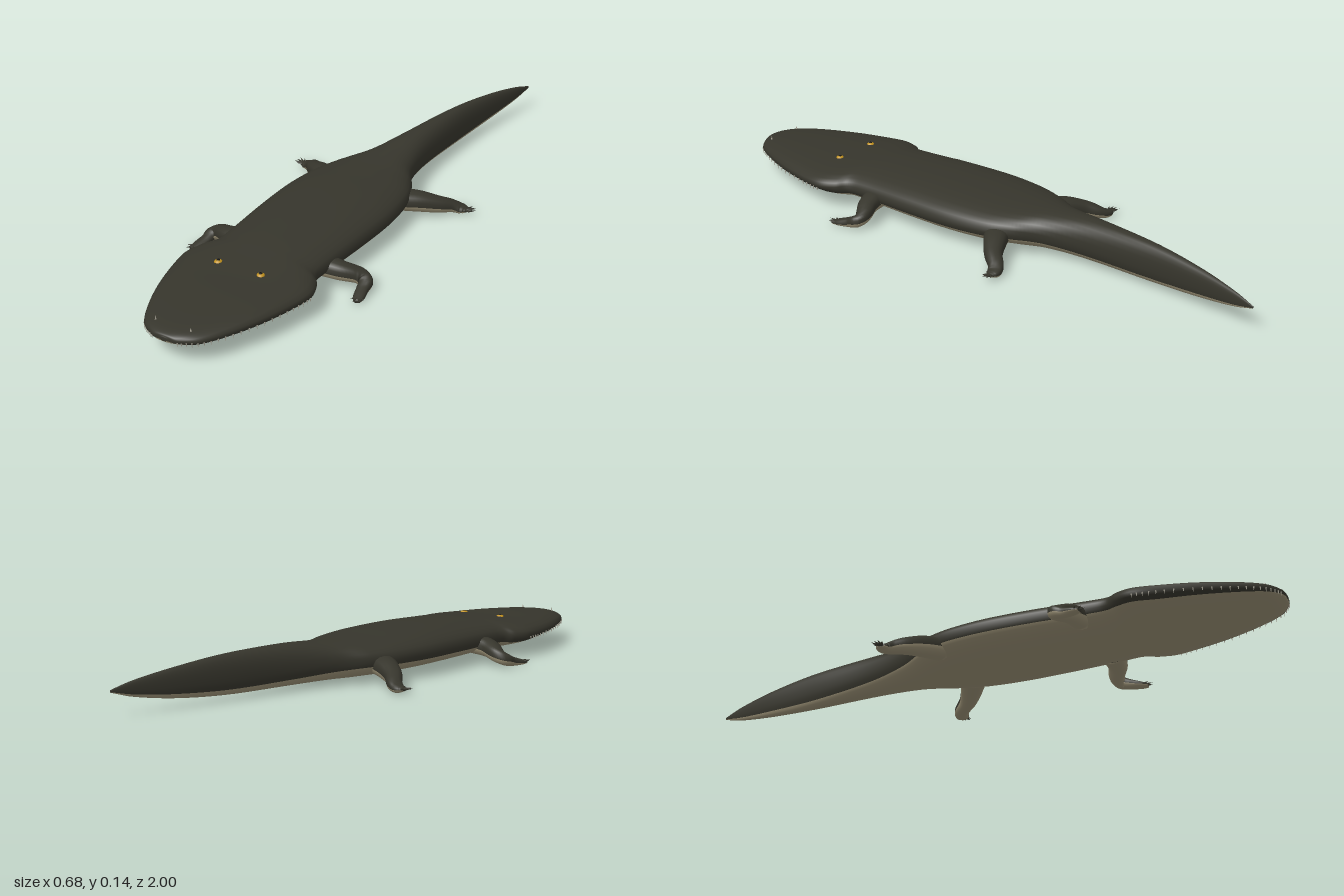
import * as THREE from 'three';

const mat = (name, color) => Object.assign(new THREE.MeshStandardMaterial({ color }), { name });
const V = (x, y, z) => new THREE.Vector3(x, y, z);

// Smooth loft through stations [x, y, z, halfWidth, up, down, split];
// split is how far down the lower half (0..1) the back colour reaches.
function makeSkin(stations) {
  const centre = new THREE.CatmullRomCurve3(stations.map(s => V(s[0], s[1], s[2])), false, 'catmullrom', 0.5);
  const size = new THREE.CatmullRomCurve3(stations.map(s => V(s[3], s[4], s[5])), false, 'catmullrom', 0.5);
  const split = new THREE.CatmullRomCurve3(stations.map(s => V(s[6], 0, 0)), false, 'catmullrom', 0.5);
  const soft = v => Math.sign(v) * Math.abs(v) ** 0.88;
  // Point on the surface at t along the path and angle a round it
  const at = (t, a) => {
    const tangent = centre.getTangent(t).setY(0).normalize();
    const side = tangent.cross(V(0, 1, 0));
    const d = size.getPoint(t);
    const s = soft(Math.sin(a));
    return centre.getPoint(t).addScaledVector(side, d.x * soft(Math.cos(a)))
      .add(V(0, s * (s > 0 ? d.y : d.z), 0));
  };
  const seam = t => Math.asin(THREE.MathUtils.clamp(split.getPoint(t).x, 0, 0.95));
  return { at, seam };
}

function loft(name, stations, steps, half, materials) {
  const { at, seam } = makeSkin(stations);
  const n = half * 2, pos = [], upper = [], lower = [];
  for (let i = 0; i <= steps; i++) {
    const t = i / steps, a = seam(t);
    for (let j = 0; j < n; j++) {
      const ang = j < half
        ? -a + (Math.PI + 2 * a) * j / half
        : Math.PI + a + (Math.PI - 2 * a) * (j - half) / half;
      pos.push(...at(t, ang).toArray());
    }
  }
  for (let i = 0; i < steps; i++) {
    for (let j = 0; j < n; j++) {
      const k = (j + 1) % n, a = i * n + j, b = a + n, c = i * n + k, d = c + n;
      (j < half ? upper : lower).push(a, b, c, b, d, c);
    }
  }
  // Close both ends
  const last = steps * n;
  for (let j = 1; j < n - 1; j++) upper.push(0, j, j + 1, last, last + j + 1, last + j);
  const g = new THREE.BufferGeometry();
  g.setAttribute('position', new THREE.Float32BufferAttribute(pos, 3));
  g.setIndex([...upper, ...lower]);
  g.addGroup(0, upper.length, 0);
  g.addGroup(upper.length, lower.length, 1);
  g.computeVertexNormals();
  const mesh = new THREE.Mesh(g, materials);
  mesh.name = name;
  return mesh;
}

// Cone with its base at one point and its tip at another
function spike(name, from, to, radius, material, sides = 6) {
  const dir = to.clone().sub(from), len = dir.length();
  const mesh = new THREE.Mesh(new THREE.ConeGeometry(radius, len, sides), material);
  mesh.position.copy(from).addScaledVector(dir, 0.5);
  mesh.quaternion.setFromUnitVectors(V(0, 1, 0), dir.normalize());
  mesh.name = name;
  return mesh;
}

export function createModel() {
  const model = new THREE.Group();
  model.name = 'amphibian';
  const back = mat('dark olive back', 0x36352c);
  const belly = mat('pale belly', 0x9a9075);
  const gold = mat('golden eye', 0xc0901c);
  const black = mat('black pupil', 0x12110f);
  const bone = mat('bone', 0xa8a496);
  const skin = [back, belly];

  // Broad flat head, trunk and tail curving to the left
  const body = [
    [0, 0.08, 1.0, 0.012, 0.006, 0.006, 0.5],
    [0, 0.08, 0.992, 0.048, 0.015, 0.012, 0.5],
    [0, 0.079, 0.955, 0.1, 0.024, 0.022, 0.5],
    [0, 0.079, 0.875, 0.145, 0.032, 0.03, 0.5],
    [0, 0.079, 0.77, 0.186, 0.038, 0.037, 0.5],
    [0, 0.079, 0.66, 0.215, 0.042, 0.042, 0.5],
    [0, 0.079, 0.585, 0.226, 0.046, 0.046, 0.45],
    [0, 0.079, 0.53, 0.21, 0.051, 0.051, 0.4],
    [0, 0.08, 0.49, 0.184, 0.054, 0.055, 0.32],
    [0, 0.08, 0.42, 0.181, 0.058, 0.06, 0.28],
    [0, 0.08, 0.24, 0.19, 0.064, 0.063, 0.25],
    [0, 0.08, 0.08, 0.192, 0.063, 0.064, 0.25],
    [0, 0.08, -0.05, 0.176, 0.058, 0.064, 0.25],
    [0, 0.08, -0.14, 0.142, 0.056, 0.064, 0.28],
    [0.004, 0.08, -0.235, 0.09, 0.06, 0.063, 0.4],
    [0.016, 0.08, -0.38, 0.055, 0.068, 0.062, 0.55],
    [0.04, 0.081, -0.6, 0.032, 0.064, 0.06, 0.65],
    [0.067, 0.081, -0.78, 0.019, 0.047, 0.047, 0.65],
    [0.095, 0.081, -0.92, 0.009, 0.025, 0.026, 0.65],
    [0.113, 0.081, -1.0, 0.002, 0.004, 0.004, 0.6],
  ];
  model.add(loft('body', body, 152, 18, skin));
  const head = makeSkin(body);

  const frontLeg = [
    [0.13, 0.068, 0.395, 0.04, 0.03, 0.035, 0.2],
    [0.2, 0.06, 0.385, 0.032, 0.027, 0.032, 0.2],
    [0.25, 0.047, 0.363, 0.026, 0.023, 0.028, 0.2],
    [0.277, 0.034, 0.368, 0.023, 0.02, 0.024, 0.2],
    [0.283, 0.023, 0.395, 0.019, 0.015, 0.017, 0.2],
    [0.292, 0.016, 0.43, 0.018, 0.01, 0.01, 0.2],
    [0.298, 0.014, 0.452, 0.011, 0.005, 0.006, 0.2],
  ];
  const hindLeg = [
    [0.11, 0.065, -0.075, 0.045, 0.03, 0.035, 0.2],
    [0.18, 0.058, -0.115, 0.036, 0.03, 0.036, 0.2],
    [0.23, 0.045, -0.15, 0.028, 0.025, 0.03, 0.2],
    [0.262, 0.031, -0.185, 0.024, 0.02, 0.022, 0.2],
    [0.285, 0.022, -0.198, 0.023, 0.014, 0.016, 0.2],
    [0.302, 0.02, -0.198, 0.019, 0.009, 0.01, 0.2],
    [0.311, 0.02, -0.196, 0.011, 0.005, 0.006, 0.2],
  ];

  for (const s of [1, -1]) {
    const sideName = s > 0 ? 'left' : 'right';
    const mirror = list => list.map(([x, ...rest]) => [x * s, ...rest]);

    // Legs with short toes
    for (const [name, leg, heading, count] of [['FrontLeg', frontLeg, 1.3, 4], ['HindLeg', hindLeg, -0.25, 5]]) {
      const group = new THREE.Group();
      group.name = sideName + name;
      group.add(loft('limb', mirror(leg), 36, 8, skin));
      const [x, y, z] = leg[5];
      for (let i = 0; i < count; i++) {
        const a = heading + (i / (count - 1) - 0.5) * 1.5;
        const p = r => V(s * (x + r * Math.cos(a)), y, z + r * Math.sin(a));
        group.add(spike('toe', p(0.006), p(i % (count - 1) ? 0.038 : 0.03).setY(y + 0.004), 0.006, back));
      }
      model.add(group);
    }

    // Low domed eye with a pupil on top
    const eye = new THREE.Mesh(new THREE.SphereGeometry(0.013, 18, 12), gold);
    eye.scale.y = 0.7;
    eye.position.set(s * 0.075, 0.118, 0.622);
    eye.name = sideName + 'Eye';
    const pupil = new THREE.Mesh(new THREE.SphereGeometry(0.006, 12, 8), black);
    pupil.scale.y = 0.4;
    pupil.position.set(s * 0.075, 0.1258, 0.622);
    pupil.name = sideName + 'Pupil';
    model.add(eye, pupil);

    // Tusk tip standing above the snout
    model.add(spike(sideName + 'Tusk', V(s * 0.061, 0.088, 0.95), V(s * 0.061, 0.113, 0.952), 0.005, bone, 8));

    // Row of small teeth along the jaw edge
    const teeth = new THREE.Group();
    teeth.name = sideName + 'Teeth';
    for (let i = 0; i < 22; i++) {
      const t = (0.9 + i * 0.24) / (body.length - 1);
      const root = head.at(t, s > 0 ? -0.12 : Math.PI + 0.12);
      teeth.add(spike('tooth', root, root.clone().add(V(0, -0.014, 0)), 0.0025, bone, 5));
    }
    model.add(teeth);
  }
  return model;
}
